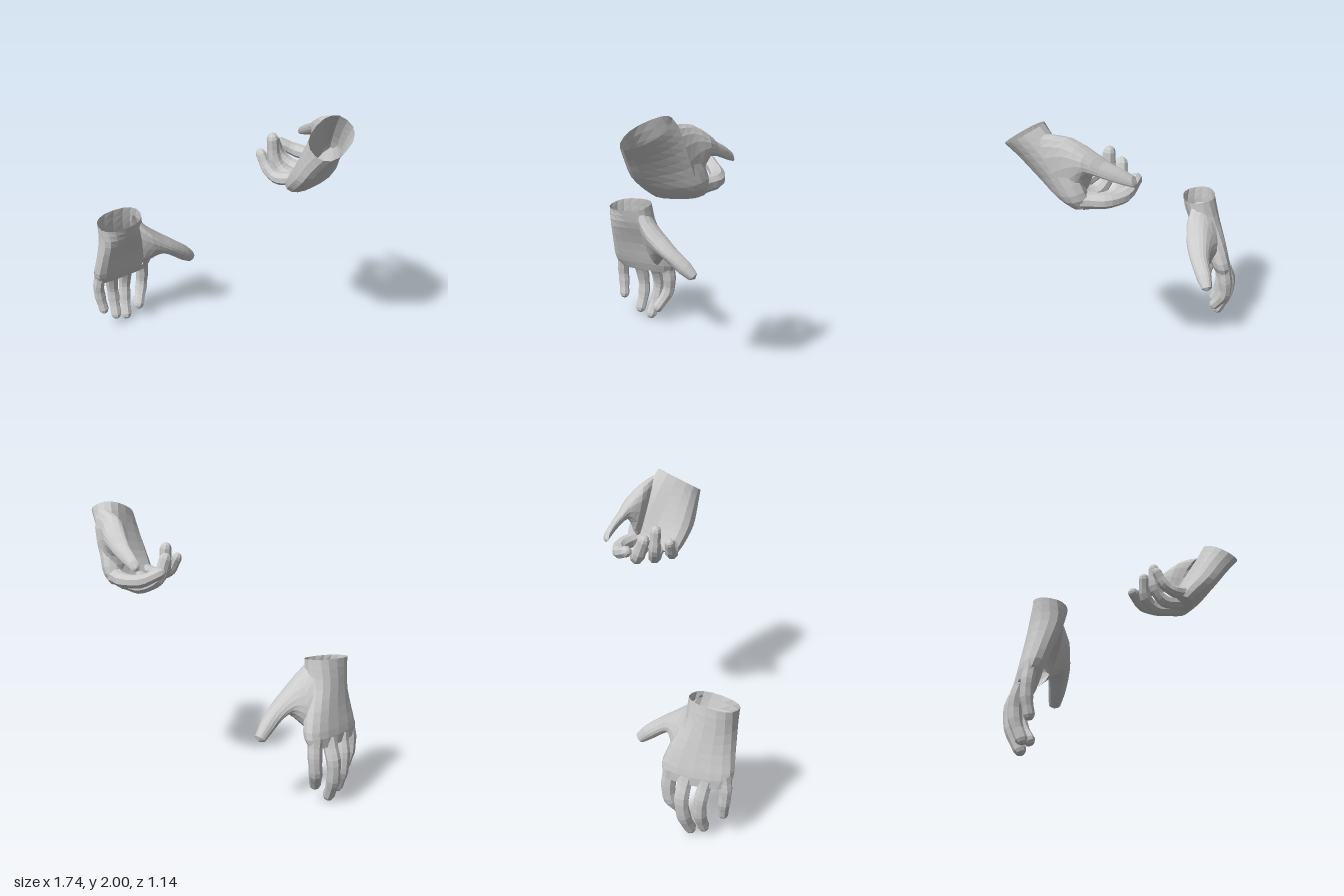
import * as THREE from 'three';

const skin = new THREE.MeshStandardMaterial({ color: 0xcccccc, flatShading: true, side: THREE.DoubleSide });
const v = (a) => new THREE.Vector3(...a);
const curveOf = (pts) => new THREE.CatmullRomCurve3(pts.map(v));

// Skin a list of equal rings, closed with a fan at the far end
function loft(rings, end, name) {
  const n = rings[0].length, pos = [], idx = [];
  rings.flat().concat(end).forEach((p) => pos.push(p.x, p.y, p.z));
  for (let i = 0; i < rings.length; i++) {
    for (let j = 0; j < n; j++) {
      const a = i * n + j, b = i * n + (j + 1) % n;
      if (i < rings.length - 1) idx.push(a, b, a + n, b, b + n, a + n);
      else idx.push(a, b, rings.length * n);
    }
  }
  const geo = new THREE.BufferGeometry();
  geo.setAttribute('position', new THREE.Float32BufferAttribute(pos, 3));
  geo.setIndex(idx);
  geo.computeVertexNormals();
  const mesh = new THREE.Mesh(geo, skin);
  mesh.name = name;
  return mesh;
}

// Tapered finger along a path, slightly swollen at the joints, with a round tip
function finger(name, path, radii) {
  const curve = curveOf(path), steps = 12, sides = 8, rings = [];
  const { tangents, normals, binormals } = curve.computeFrenetFrames(steps);
  const ring = (c, i, r) => Array.from({ length: sides }, (_, j) => {
    const a = ((j + 0.5) / sides) * Math.PI * 2;
    return c.clone().addScaledVector(normals[i], r * Math.cos(a)).addScaledVector(binormals[i], r * Math.sin(a));
  });
  const last = radii.length - 1;
  for (let i = 0; i <= steps; i++) {
    const u = i / steps, k = Math.min(Math.floor(u * last), last - 1);
    const r = THREE.MathUtils.lerp(radii[k], radii[k + 1], u * last - k);
    rings.push(ring(curve.getPointAt(u), i, r * (1 + 0.04 * Math.cos(u * Math.PI * 6))));
  }
  const tip = curve.getPointAt(1), r = radii[last];
  for (const a of [0.6, 1.1]) {
    rings.push(ring(tip.clone().addScaledVector(tangents[steps], r * Math.sin(a)), steps, r * Math.cos(a)));
  }
  return loft(rings, tip.clone().addScaledVector(tangents[steps], r), name);
}

// Fleshy part through oval sections: [centre, half-width, half-thickness to palm side]; hollow dents the palm side
function flesh(name, sections, hollow, tipLength) {
  const [c, w, t] = [0, 1, 2].map((k) => curveOf(sections.map((s) => s[k])));
  const axis = c.getPoint(1).sub(c.getPoint(0));
  const turn = Math.sign(w.getPoint(0).cross(t.getPoint(0)).dot(axis));
  const steps = 10, sides = 16, rings = [];
  const soft = (x) => Math.sign(x) * Math.abs(x) ** 0.85;
  for (let i = 0; i <= steps; i++) {
    const u = i / steps, ring = [];
    for (let j = 0; j < sides; j++) {
      const a = (turn * j / sides) * Math.PI * 2, s = Math.sin(a);
      const dent = s > 0 ? 1 - hollow * s ** 4 * Math.sin(Math.PI * u * 0.8) : 1;
      ring.push(c.getPoint(u).addScaledVector(w.getPoint(u), soft(Math.cos(a)))
        .addScaledVector(t.getPoint(u), soft(s) * dent));
    }
    rings.push(ring);
  }
  return loft(rings, c.getPoint(1).addScaledVector(c.getTangent(1), tipLength), name);
}

function hand(name, spec) {
  const group = new THREE.Group();
  group.name = name;
  group.add(flesh('palm', spec.palm, 0.38, 0.02), flesh('thumb', spec.thumb, 0, 0.022));
  for (const [part, r] of [['indexFinger', 0.049], ['middleFinger', 0.049], ['ringFinger', 0.047], ['littleFinger', 0.043]]) {
    group.add(finger(part, spec[part], [r * 1.15, r, r * 0.95, r * 0.82]));
  }
  return group;
}

// Relaxed hand hanging down, palm forward
const openHand = {
  palm: [
    [[-0.645, 0.985, -0.25], [0.148, 0.015, -0.075], [0.045, -0.02, 0.105]],
    [[-0.64, 0.85, -0.27], [0.14, 0, -0.1], [0.06, 0, 0.105]],
    [[-0.64, 0.68, -0.33], [0.17, 0, -0.13], [0.05, 0, 0.09]],
    [[-0.645, 0.52, -0.38], [0.2, 0, -0.145], [0.05, 0, 0.075]],
    [[-0.655, 0.435, -0.405], [0.18, 0, -0.125], [0.03, 0, 0.055]],
  ],
  thumb: [
    [[-0.525, 0.745, -0.36], [-0.005, 0.24, 0.085], [0.04, -0.03, 0.085]],
    [[-0.425, 0.75, -0.345], [-0.015, 0.137, 0.07], [0.035, -0.03, 0.078]],
    [[-0.345, 0.717, -0.36], [0.01, 0.072, 0.04], [0.03, -0.03, 0.068]],
    [[-0.265, 0.655, -0.395], [0.03, 0.046, 0.02], [0.02, -0.025, 0.055]],
    [[-0.19, 0.58, -0.45], [0.037, 0.034, 0], [0.015, -0.02, 0.05]],
    [[-0.137, 0.518, -0.493], [0.028, 0.024, 0], [0.01, -0.012, 0.034]],
  ],
  indexFinger: [[-0.515, 0.5, -0.5], [-0.51, 0.38, -0.52], [-0.52, 0.26, -0.515], [-0.54, 0.135, -0.435]],
  middleFinger: [[-0.62, 0.48, -0.45], [-0.645, 0.32, -0.51], [-0.65, 0.17, -0.492], [-0.64, 0.043, -0.435]],
  ringFinger: [[-0.73, 0.48, -0.37], [-0.738, 0.33, -0.42], [-0.73, 0.2, -0.42], [-0.715, 0.08, -0.38]],
  littleFinger: [[-0.805, 0.52, -0.28], [-0.826, 0.4, -0.285], [-0.82, 0.3, -0.29], [-0.798, 0.195, -0.28]],
};

// Raised hand with fingers curled towards the thumb
const curledHand = {
  palm: [
    [[0.73, 1.915, 0.435], [0.11, 0.07, -0.11], [-0.085, 0.05, -0.08]],
    [[0.7, 1.8, 0.35], [0.13, 0.06, -0.13], [-0.07, 0.04, -0.09]],
    [[0.675, 1.67, 0.26], [0.15, 0.05, -0.148], [-0.06, 0.03, -0.095]],
    [[0.655, 1.55, 0.178], [0.16, 0.025, -0.135], [-0.055, 0.03, -0.085]],
    [[0.63, 1.485, 0.135], [0.14, 0.015, -0.115], [-0.045, 0.03, -0.055]],
  ],
  thumb: [
    [[0.775, 1.745, 0.165], [0.03, 0.215, 0.095], [-0.08, 0.01, -0.04]],
    [[0.747, 1.775, 0.085], [0.01, 0.16, 0.05], [-0.085, 0, -0.035]],
    [[0.742, 1.79, -0.005], [0.005, 0.068, 0.01], [-0.075, 0, -0.03]],
    [[0.712, 1.743, -0.095], [0, 0.051, 0.015], [-0.055, 0, -0.02]],
    [[0.675, 1.7, -0.18], [0, 0.045, 0.01], [-0.043, 0, -0.015]],
    [[0.642, 1.665, -0.245], [0, 0.035, 0.01], [-0.033, 0, 0]],
  ],
  indexFinger: [[0.75, 1.54, 0.06], [0.7, 1.54, -0.1], [0.59, 1.55, -0.175], [0.475, 1.6, -0.19]],
  middleFinger: [[0.69, 1.5, 0.08], [0.58, 1.482, -0.04], [0.48, 1.54, -0.09], [0.425, 1.67, -0.075]],
  ringFinger: [[0.6, 1.5, 0.15], [0.5, 1.487, 0.06], [0.43, 1.57, 0.015], [0.41, 1.725, 0.015]],
  littleFinger: [[0.53, 1.53, 0.22], [0.425, 1.515, 0.16], [0.37, 1.56, 0.11], [0.33, 1.645, 0.075]],
};

export function createModel() {
  const model = new THREE.Group();
  model.name = 'pairOfHands';
  model.add(hand('openHand', openHand), hand('curledHand', curledHand));
  return model;
}
